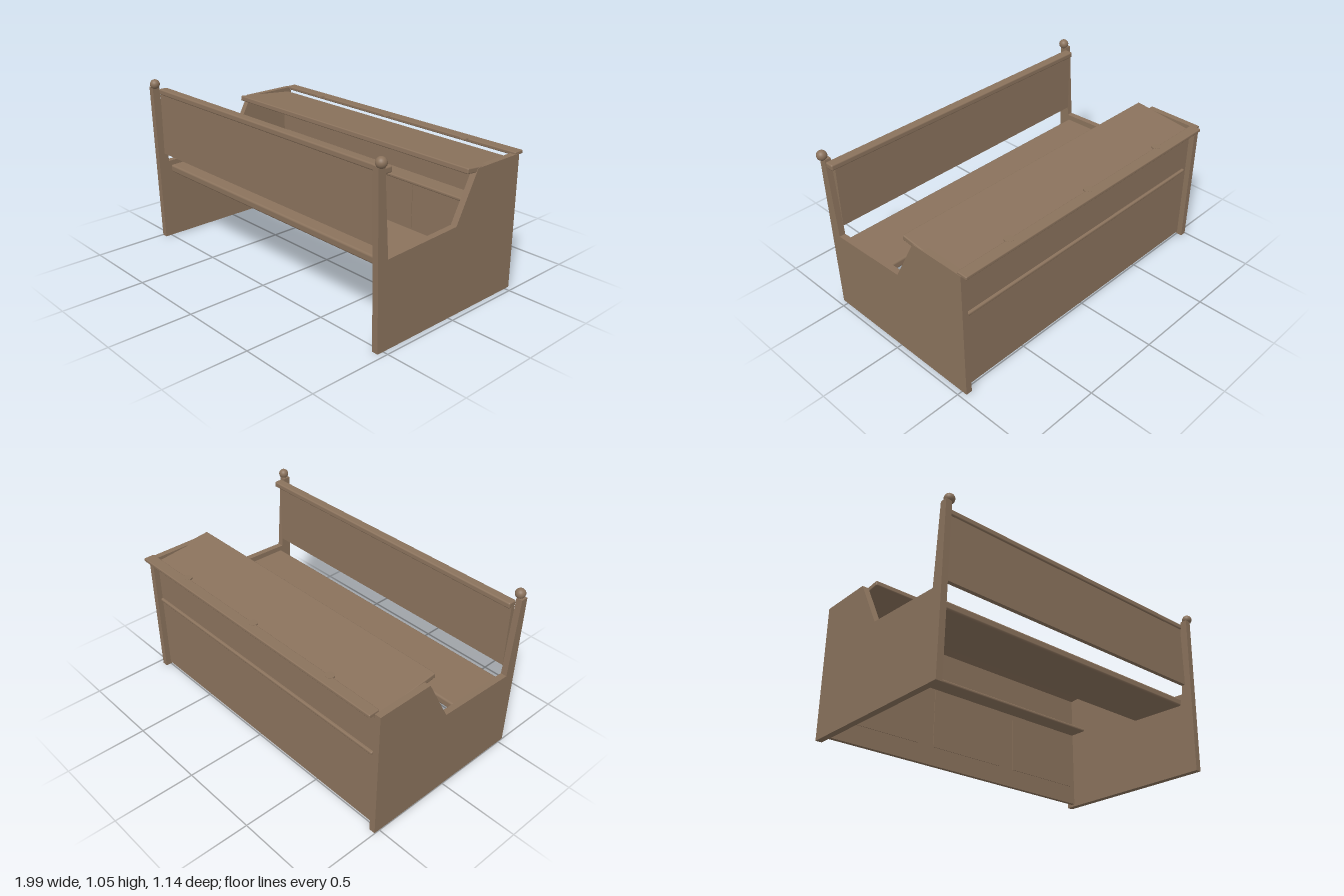
import * as THREE from 'three';
import { RoundedBoxGeometry } from 'three/addons/geometries/RoundedBoxGeometry.js';

export function createModel() {
  const model = new THREE.Group();
  model.name = 'benchDesk';
  const wood = new THREE.MeshStandardMaterial({ color: 0x8a725c });
  wood.name = 'brown wood';

  const add = (name, geometry, x = 0, y = 0, z = 0) => {
    const mesh = new THREE.Mesh(geometry, wood);
    mesh.name = name;
    mesh.position.set(x, y, z);
    model.add(mesh);
    return mesh;
  };
  // Board given by its extents on each axis, with optional rounded edges
  const board = (name, [x0, x1], [y0, y1], [z0, z1], r = 0) => {
    const size = [x1 - x0, y1 - y0, z1 - z0];
    const geometry = r ? new RoundedBoxGeometry(...size, 3, r) : new THREE.BoxGeometry(...size);
    return add(name, geometry, (x0 + x1) / 2, (y0 + y1) / 2, (z0 + z1) / 2);
  };

  // Side panels: profile in (z, y), extruded across x
  const profile = new THREE.Shape([
    [0.54, 0], [0.562, 1.0], [0.517, 1.0], [0.482, 0.508], [-0.028, 0.528],
    [-0.182, 0.814], [-0.535, 0.814], [-0.535, 0],
  ].map(([z, y]) => new THREE.Vector2(z, y)));
  const panel = new THREE.ExtrudeGeometry(profile, { depth: 0.038, bevelEnabled: false });
  panel.rotateY(-Math.PI / 2);
  add('rightSidePanel', panel, -0.96);
  add('leftSidePanel', panel, 0.968);

  // Ball finials on the posts
  for (const [name, x] of [['rightFinial', -0.964], ['leftFinial', 0.966]]) {
    add(name, new THREE.SphereGeometry(0.03, 24, 16), x, 1.02, 0.543);
  }

  // Bench backrest, its cap rail and the tilted seat
  board('backrest', [-0.96, 0.932], [0.565, 0.97], [0.485, 0.511]);
  board('backrestRail', [-0.96, 0.965], [0.951, 0.987], [0.463, 0.52], 0.009);
  const seat = board('seat', [-0.96, 0.932], [0.438, 0.486], [0.095, 0.47], 0.012);
  seat.rotation.x = 0.025;

  // Sloping desk top
  const top = add('deskTop', new RoundedBoxGeometry(1.925, 0.032, 0.412, 3, 0.007), 0.0025, 0.793, -0.306);
  top.rotation.x = -0.105;

  // Back panel with shelf and three thin inner plates
  board('backPanel', [-0.96, 0.932], [0.015, 0.765], [-0.5, -0.475]);
  board('shelf', [-0.93, 0.93], [0.504, 0.525], [-0.515, -0.36], 0.008);
  for (const x of [-0.63, 0, 0.63]) {
    board('innerPlate', [x - 0.26, x + 0.26], [0.13, 0.5], [-0.476, -0.471]);
  }

  // Ledge rail behind the desk top, with small round tabs
  board('ledgeRail', [-0.96, 0.965], [0.805, 0.826], [-0.572, -0.503], 0.006);
  for (const x of [-0.61, 0, 0.61]) {
    add('ledgeTab', new THREE.CylinderGeometry(0.027, 0.027, 0.008, 24), x, 0.823, -0.503);
  }
  return model;
}
